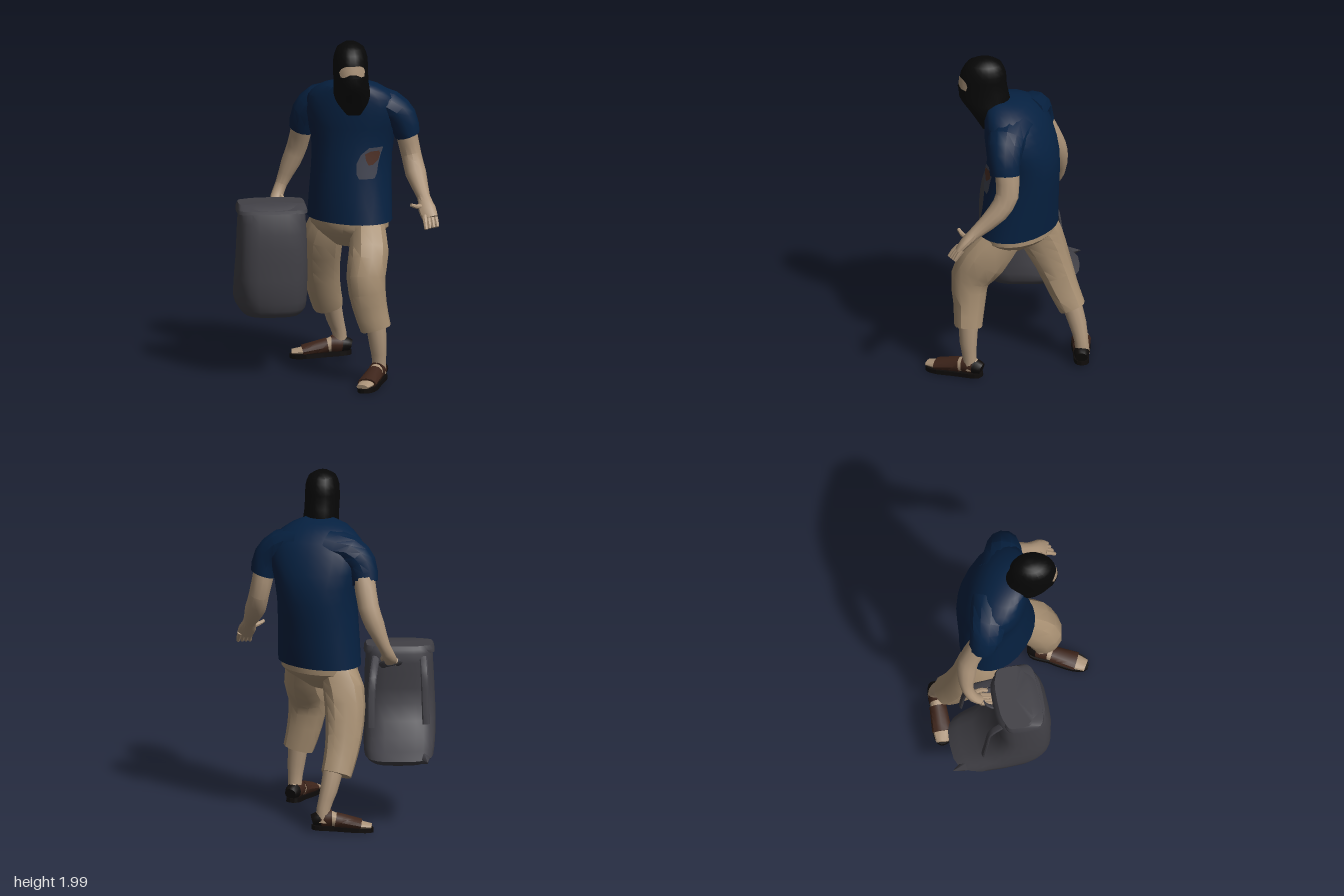
import * as THREE from 'three';
import { toCreasedNormals } from 'three/addons/utils/BufferGeometryUtils.js';

const mat = (name, color) => Object.assign(new THREE.MeshStandardMaterial({ color }), { name });
const V = (x, y, z) => new THREE.Vector3(x, y, z);

// Ring list [x, y, z, r1, r2, yaw] -> smooth curves for the centre and for radii with yaw
function curves(rings) {
  return {
    c: new THREE.CatmullRomCurve3(rings.map((r) => V(r[0], r[1], r[2]))),
    r: new THREE.CatmullRomCurve3(rings.map((r) => V(r[3], r[4] ?? r[3], r[5] ?? 0))),
  };
}
const pow = (v, p) => Math.sign(v) * Math.abs(v) ** p;

// Skin over rings. level: rings stay horizontal (listed bottom up), else square to the path.
function loft(rings, { n = 12, k = 2, level = false, p = 1, ref = V(0, 0, 1) } = {}) {
  const { c, r } = curves(rings);
  const m = (rings.length - 1) * k;
  const pos = [], idx = [];
  for (let i = 0; i <= m; i++) {
    const o = c.getPoint(i / m), rad = r.getPoint(i / m);
    const T = level ? V(0, 1, 0) : c.getTangent(i / m);
    const S = level ? V(Math.cos(rad.z), 0, Math.sin(rad.z)) : V().crossVectors(T, ref).normalize();
    const U = V().crossVectors(T, S);
    for (let j = 0; j < n; j++) {
      const a = (j / n) * Math.PI * 2;
      const q = o.clone().addScaledVector(S, rad.x * pow(Math.cos(a), p)).addScaledVector(U, rad.y * pow(Math.sin(a), p));
      pos.push(q.x, q.y, q.z);
      if (i < m) {
        const b = i * n + j, d = i * n + ((j + 1) % n);
        idx.push(b, d, b + n, d, d + n, b + n);
      }
    }
  }
  // end caps
  const s = c.getPoint(0), e = c.getPoint(1), ci = pos.length / 3;
  pos.push(s.x, s.y, s.z, e.x, e.y, e.z);
  for (let j = 0; j < n; j++) {
    const d = (j + 1) % n;
    idx.push(ci, d, j, ci + 1, m * n + j, m * n + d);
  }
  return finish(pos, idx);
}

function finish(pos, idx) {
  const g = new THREE.BufferGeometry();
  g.setAttribute('position', new THREE.Float32BufferAttribute(pos, 3));
  g.setIndex(idx);
  return toCreasedNormals(g, 0.6);
}

// Thin face laid on the front of a level loft; rows are [y, xMin, xMax], bottom up
function patch(rings, rows, lift, cols = 8) {
  const { c, r } = curves(rings);
  const solve = (lo, hi, f) => {
    for (let i = 0; i < 30; i++) {
      const mid = (lo + hi) / 2;
      if (f(mid) < 0) lo = mid; else hi = mid;
    }
    return lo;
  };
  const pos = [], idx = [];
  rows.forEach(([y, x0, x1], i) => {
    const t = solve(0, 1, (v) => c.getPoint(v).y - y);
    const o = c.getPoint(t), rad = r.getPoint(t);
    const a = rad.x + lift, b = rad.y + lift, cs = Math.cos(rad.z), sn = Math.sin(rad.z);
    for (let j = 0; j <= cols; j++) {
      const x = x0 + ((x1 - x0) * j) / cols;
      const px = (u) => o.x + a * Math.cos(u) * cs + b * Math.sin(u) * sn;
      const u = solve(-Math.PI, 0, (v) => px(v) - x);
      pos.push(px(u), y, o.z + a * Math.cos(u) * sn - b * Math.sin(u) * cs);
      if (i < rows.length - 1 && j < cols) {
        const q = i * (cols + 1) + j, w = q + cols + 1;
        idx.push(q, q + 1, w, q + 1, w + 1, w);
      }
    }
  });
  return finish(pos, idx);
}

export function createModel() {
  const skin = mat('skin', 0xab9379), trousers = mat('trouser tan', 0xa78f72);
  const shirt = mat('shirt blue', 0x062141), black = mat('mask black', 0x070707);
  const bagGrey = mat('bag grey', 0x414046), leather = mat('sandal brown', 0x3d241a);
  const soleMat = mat('sole black', 0x0e0b0a), faded = mat('faded print grey', 0x424552);
  const rust = mat('print brown', 0x4d3026);
  const model = new THREE.Group();
  const add = (name, geo, material, parent = model) => {
    const mesh = new THREE.Mesh(geo, material);
    mesh.name = name;
    parent.add(mesh);
    return mesh;
  };

  // Head in a hood mask with an eye opening
  const head = [[0.1, 1.57, 0.13, 0.04, 0.02], [0.095, 1.64, 0.12, 0.09, 0.075], [0.09, 1.7, 0.12, 0.105, 0.12],
    [0.085, 1.76, 0.135, 0.1, 0.146], [0.08, 1.84, 0.143, 0.1, 0.137], [0.08, 1.91, 0.14, 0.098, 0.13],
    [0.08, 1.97, 0.135, 0.078, 0.098], [0.08, 1.998, 0.13, 0.035, 0.045]].map((r) => [...r, 0.12]);
  add('mask', loft(head, { n: 20, level: true }), black);
  add('eyeOpening', patch(head, [[1.822, 0.01, 0.148], [1.85, 0.002, 0.152], [1.872, 0.014, 0.145], [1.888, 0.04, 0.12]], 0.003), skin);
  add('maskNoseBridge', patch(head, [[1.818, 0.02, 0.135], [1.832, 0.045, 0.11], [1.84, 0.06, 0.095]], 0.006), black);

  // Shirt body, twisting further to the right toward the hem
  const torso = [[0.1, 0.925, -0.06, 0.262, 0.19, 0.75], [0.11, 1.2, -0.08, 0.235, 0.2, 0.55], [0.12, 1.4, -0.085, 0.24, 0.2, 0.38],
    [0.115, 1.55, -0.06, 0.275, 0.182, 0.35], [0.11, 1.65, -0.035, 0.255, 0.155, 0.35], [0.1, 1.72, 0, 0.165, 0.115, 0.35], [0.1, 1.75, 0.03, 0.08, 0.06, 0.35]];
  add('shirtBody', loft(torso, { n: 24, level: true, p: 0.94 }), shirt);
  add('shirtPrint', patch(torso, [[1.19, 0.13, 0.22], [1.22, 0.115, 0.235], [1.28, 0.115, 0.245], [1.33, 0.14, 0.26], [1.37, 0.19, 0.275]], 0.009), faded);
  add('printStain', patch(torso, [[1.27, 0.185, 0.21], [1.3, 0.17, 0.245], [1.335, 0.165, 0.255], [1.35, 0.2, 0.25]], 0.012), rust);

  // Sleeves and arms
  add('leftSleeve', loft([[0.2, 1.615, -0.03, 0.1, 0.13], [0.32, 1.59, 0.015, 0.092, 0.112], [0.39, 1.52, 0.03, 0.087, 0.095], [0.422, 1.42, 0.03, 0.073, 0.085]]), shirt);
  add('rightSleeve', loft([[0.04, 1.62, -0.09, 0.1, 0.13], [-0.075, 1.595, -0.145, 0.092, 0.11], [-0.135, 1.525, -0.17, 0.088, 0.095], [-0.158, 1.42, -0.2, 0.075, 0.08]]), shirt);
  add('leftArm', loft([[0.41, 1.46, 0.02, 0.062, 0.07], [0.445, 1.3, 0.018, 0.058, 0.066], [0.465, 1.2, 0.075, 0.06],
    [0.495, 1.09, 0.2, 0.037], [0.507, 1.035, 0.26, 0.05, 0.03], [0.52, 0.99, 0.3, 0.045, 0.021]]), skin);
  add('rightArm', loft([[-0.15, 1.46, -0.21, 0.062], [-0.175, 1.3, -0.28, 0.06], [-0.21, 1.2, -0.298, 0.056],
    [-0.265, 1.07, -0.305, 0.035], [-0.295, 1.0, -0.275, 0.036, 0.03], [-0.305, 0.965, -0.235, 0.036, 0.022]]), skin);

  // Fingers: [base, bend, tip]
  const finger = (name, ...pts) => add(name, loft(pts.map((q, i) => [...q, 0.016 - i * 0.003]), { n: 7, ref: V(1, 0.2, 0.1) }), skin);
  for (let i = 0; i < 4; i++) {
    finger('leftFinger', [0.488 + i * 0.02, 1.003, 0.295 - i * 0.004], [0.489 + i * 0.022, 0.97, 0.33 - i * 0.008], [0.49 + i * 0.023, 0.938 + i * 0.002, 0.352 - i * 0.01]);
    finger('rightFinger', [-0.33 + i * 0.016, 0.975, -0.24], [-0.33 + i * 0.017, 0.945, -0.195], [-0.325 + i * 0.017, 0.93, -0.15 - i * 0.008]);
  }
  finger('leftThumb', [0.49, 1.05, 0.24], [0.445, 1.055, 0.275], [0.41, 1.07, 0.295]);
  finger('rightThumb', [-0.275, 1.01, -0.27], [-0.255, 0.98, -0.22], [-0.26, 0.96, -0.19]);

  // Cropped trousers
  add('hips', loft([[0.085, 0.77, -0.035, 0.08, 0.05, 0.75], [0.09, 0.83, -0.05, 0.18, 0.12, 0.75], [0.1, 0.89, -0.06, 0.245, 0.18, 0.75],
    [0.1, 0.97, -0.06, 0.25, 0.18, 0.75]], { n: 20, level: true }), trousers);
  add('leftTrouserLeg', loft([[0.195, 0.92, 0.015, 0.09, 0.11], [0.185, 0.76, 0.14, 0.115, 0.135], [0.16, 0.63, 0.215, 0.112, 0.115],
    [0.18, 0.47, 0.225, 0.1, 0.092], [0.215, 0.335, 0.232, 0.088, 0.08]], { p: 0.85 }), trousers);
  add('rightTrouserLeg', loft([[0.005, 0.92, -0.14, 0.095, 0.115], [-0.035, 0.79, -0.19, 0.118, 0.128], [-0.04, 0.61, -0.26, 0.11, 0.105],
    [-0.02, 0.46, -0.315, 0.098, 0.09], [0.012, 0.335, -0.37, 0.088, 0.078]], { p: 0.85 }), trousers);
  add('leftShin', loft([[0.21, 0.4, 0.23, 0.06], [0.228, 0.24, 0.232, 0.05], [0.235, 0.14, 0.225, 0.04], [0.235, 0.07, 0.22, 0.042]]), skin);
  add('rightShin', loft([[0.02, 0.4, -0.355, 0.06], [0.055, 0.25, -0.4, 0.05], [0.085, 0.15, -0.42, 0.04], [0.09, 0.07, -0.425, 0.042]]), skin);

  // Feet in sandals, built with the toes along +z, heels a little raised
  const outline = new THREE.Shape();
  outline.moveTo(0, -0.07);
  outline.bezierCurveTo(0.065, -0.07, 0.035, 0.04, 0.055, 0.15);
  outline.bezierCurveTo(0.07, 0.25, 0.03, 0.29, -0.015, 0.285);
  outline.bezierCurveTo(-0.065, 0.27, -0.055, 0.15, -0.042, 0.06);
  outline.bezierCurveTo(-0.042, 0, -0.06, -0.07, 0, -0.07);
  const along = { ref: V(0, -1, 0) };
  for (const [side, x, z, turn] of [['left', 0.235, 0.215, -0.45], ['right', 0.085, -0.42, -1.6]]) {
    const foot = new THREE.Group();
    foot.name = side + 'Foot';
    foot.position.set(x, 0.016, z);
    foot.rotation.set(0.05, turn, 0, 'YXZ');
    model.add(foot);
    const sole = new THREE.ExtrudeGeometry(outline, { depth: 0.025, bevelEnabled: false, curveSegments: 6 });
    sole.rotateX(Math.PI / 2).translate(0, 0.035, 0);
    add('sole', sole, soleMat, foot);
    add('bareFoot', loft([[0, 0.065, -0.055, 0.03, 0.03], [0, 0.08, 0, 0.04, 0.048], [0, 0.066, 0.08, 0.043, 0.038],
      [0, 0.05, 0.18, 0.05, 0.026], [-0.008, 0.044, 0.272, 0.036, 0.014]], along), skin, foot);
    add('heelCup', loft([[0, 0.06, -0.068, 0.034, 0.033], [0, 0.068, -0.045, 0.042, 0.04], [0, 0.072, -0.02, 0.045, 0.046]], along), soleMat, foot);
    add('ankleStrap', loft([[0, 0.073, -0.021, 0.044, 0.046], [0, 0.076, 0.01, 0.046, 0.052], [0, 0.078, 0.045, 0.046, 0.05]], along), leather, foot);
    add('toeStrap', loft([[0, 0.068, 0.065, 0.049, 0.047], [0, 0.06, 0.13, 0.052, 0.04], [0, 0.05, 0.212, 0.056, 0.03]], along), leather, foot);
  }

  // Carried backpack: sagging rear base, rounded body, lid flap and straps
  add('bagBody', loft([[-0.35, 0.38, -0.13, 0.165, 0.225], [-0.35, 0.42, -0.15, 0.198, 0.275], [-0.357, 0.52, -0.07, 0.205, 0.215],
    [-0.357, 0.7, -0.012, 0.203, 0.16], [-0.355, 0.87, -0.015, 0.197, 0.158], [-0.355, 0.99, -0.03, 0.19, 0.145], [-0.355, 1.03, -0.05, 0.18, 0.1]], { n: 24, level: true, p: 0.62 }), bagGrey);
  add('bagLid', loft([[-0.355, 0.985, -0.02, 0.203, 0.12], [-0.355, 1.005, -0.025, 0.2, 0.12], [-0.355, 1.03, -0.05, 0.19, 0.085]], { n: 24, k: 1, level: true, p: 0.4 }), bagGrey);
  const strap = (name, pts) => add(name, loft(pts.map((q) => [...q, 0.022, 0.009]), { n: 8, k: 3 }), bagGrey);
  strap('outerStrap', [[-0.49, 0.97, -0.15], [-0.495, 0.9, -0.215], [-0.5, 0.75, -0.24], [-0.505, 0.6, -0.26]]);
  strap('innerStrap', [[-0.22, 0.97, -0.15], [-0.2, 0.88, -0.28], [-0.19, 0.76, -0.31], [-0.19, 0.6, -0.33]]);
  strap('grabHandle', [[-0.36, 0.93, -0.16], [-0.33, 0.96, -0.22], [-0.28, 0.95, -0.22], [-0.25, 0.92, -0.16]]);
  // pinched outer corner at the base
  const tip = add('baseCorner', new THREE.ConeGeometry(0.035, 0.08, 5), bagGrey);
  tip.position.set(-0.5, 0.42, -0.4);
  tip.rotation.set(-Math.PI / 2, 0, 0.2);
  return model;
}
